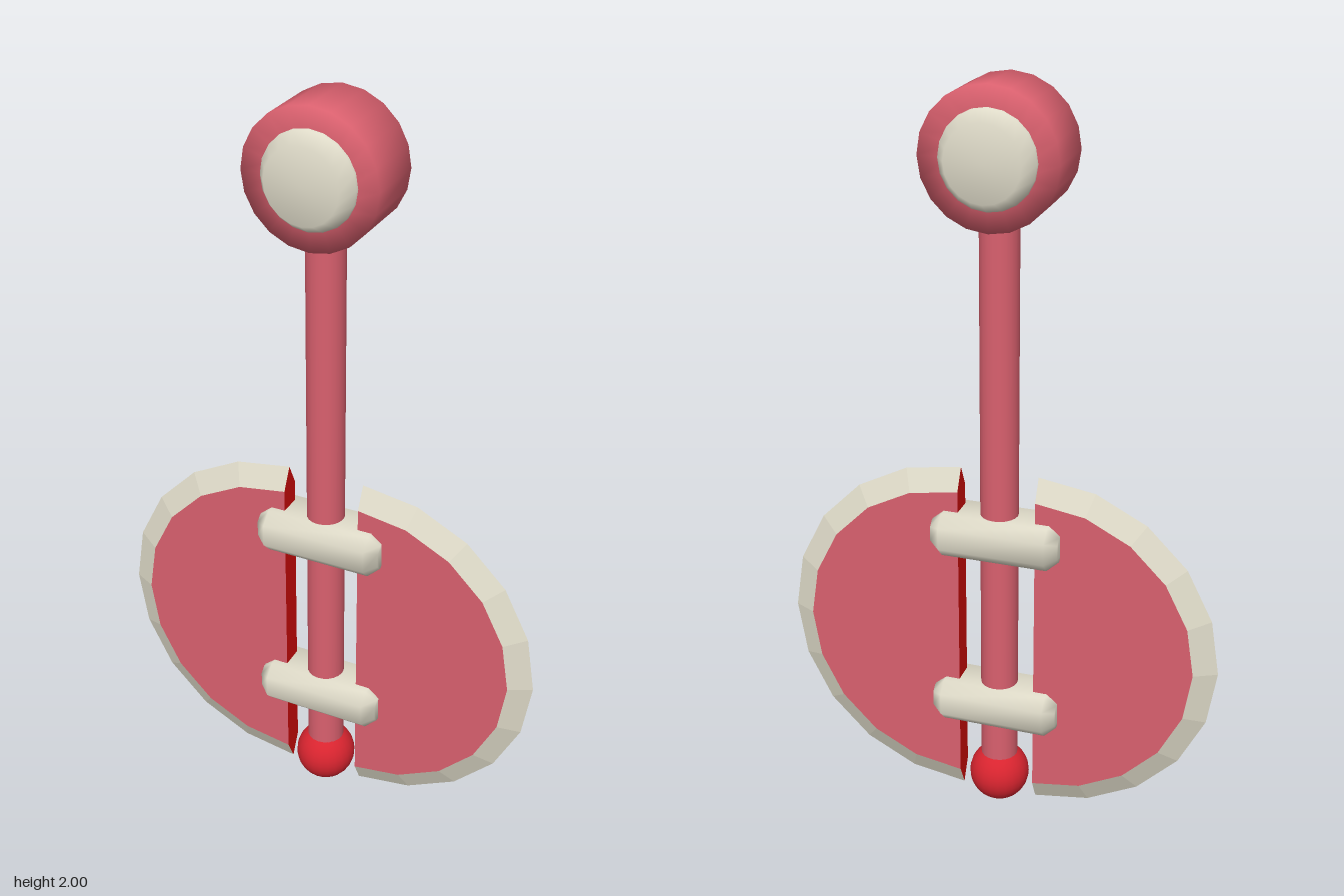
import * as THREE from 'three';
import { mergeVertices } from 'three/addons/utils/BufferGeometryUtils.js';

const mat = (name, color, side = THREE.FrontSide) => {
  const m = new THREE.MeshStandardMaterial({ color, side });
  m.name = name;
  return m;
};

function add(parent, name, geometry, material, x = 0, y = 0, z = 0) {
  const mesh = new THREE.Mesh(geometry, material);
  mesh.name = name;
  mesh.position.set(x, y, z);
  parent.add(mesh);
  return mesh;
}

// Lathe whose axis runs along z; profile is a list of [radius, z]
function latheZ(profile, segments, start = 0, length = Math.PI * 2) {
  const pts = profile.map(([r, z]) => new THREE.Vector2(r, z));
  return new THREE.LatheGeometry(pts, segments, start, length).rotateX(Math.PI / 2);
}

// Chamfered bar along x with softened normals
function barGeometry(hx, hy, hz, c) {
  const a = hz - c, b = hy - c, k = 0.03;
  const outline = [
    [a + c, -b], [a + c, b], [a, b + c], [-a, b + c],
    [-a - c, b], [-a - c, -b], [-a, -b - c], [a, -b - c],
  ].map(([x, y]) => new THREE.Vector2(x, y));
  let g = new THREE.ExtrudeGeometry(new THREE.Shape(outline), {
    depth: 2 * (hx - k), bevelEnabled: true, bevelThickness: k,
    bevelSize: 0.025, bevelOffset: -0.025, bevelSegments: 1,
  });
  g.translate(0, 0, -(hx - k)).rotateY(Math.PI / 2);
  g.deleteAttribute('uv');
  g.deleteAttribute('normal');
  g = mergeVertices(g, 1e-4);
  g.computeVertexNormals();
  return g;
}

export function createModel() {
  const model = new THREE.Group();
  model.name = 'staff';
  const pink = mat('rosePink', 0xd9606e);
  const cream = mat('cream', 0xdedac8);
  const red = mat('ballRed', 0xd8242f);
  const cutRed = mat('brightRed', 0xd40c08);

  // Shaft and bottom ball
  add(model, 'shaft', new THREE.CylinderGeometry(0.05, 0.05, 1.62, 20), pink, 0, 0.91);
  add(model, 'bottomBall', new THREE.SphereGeometry(0.082, 24, 16), red, 0, 0.082);

  // Drum-shaped head with a cream boss on each side
  const head = new THREE.Group();
  head.name = 'head';
  head.position.y = 1.825;
  model.add(head);
  add(head, 'headDrum', latheZ([[0.1, -0.088], [0.175, -0.088], [0.175, 0.088], [0.1, 0.088]], 20), pink);
  for (const s of [1, -1]) {
    const boss = add(head, s > 0 ? 'frontBoss' : 'backBoss',
      latheZ([[0.123, 0.085], [0.121, 0.095], [0.095, 0.131], [0, 0.131]], 20), cream);
    if (s < 0) boss.rotation.y = Math.PI;
  }

  // Two half-disc blades, bevelled to a sharp rim
  const R = 0.49, r = 0.43, t = 0.03, half = Math.PI;
  const rim = latheZ([[r, -t], [R, 0], [r, t]], 10, 0, half).toNonIndexed();
  rim.computeVertexNormals();
  const face = new THREE.CircleGeometry(r, 10, -half / 2, half);
  const backFace = new THREE.CircleGeometry(r, 10, half / 2, half).rotateY(Math.PI);
  const cut = new THREE.ShapeGeometry(new THREE.Shape(
    [[0, -R], [t, -r], [t, r], [0, R], [-t, r], [-t, -r]].map(([x, y]) => new THREE.Vector2(x, y)),
  )).rotateY(-Math.PI / 2);
  for (const s of [1, -1]) {
    const blade = new THREE.Group();
    blade.name = s > 0 ? 'leftBlade' : 'rightBlade';
    blade.position.set(s * 0.105, 0.508, 0);
    if (s < 0) blade.rotation.y = Math.PI;
    add(blade, 'bladeRim', rim, cream);
    add(blade, 'bladeFace', face, pink, 0, 0, t);
    add(blade, 'bladeBackFace', backFace, pink, 0, 0, -t);
    add(blade, 'bladeCutEdge', cut, cutRed);
    model.add(blade);
  }

  // Bars joining the blades to the shaft
  const bar = barGeometry(0.173, 0.06, 0.08, 0.03);
  add(model, 'upperBar', bar, cream, 0, 0.82);
  add(model, 'lowerBar', bar, cream, 0, 0.315);

  return model;
}
